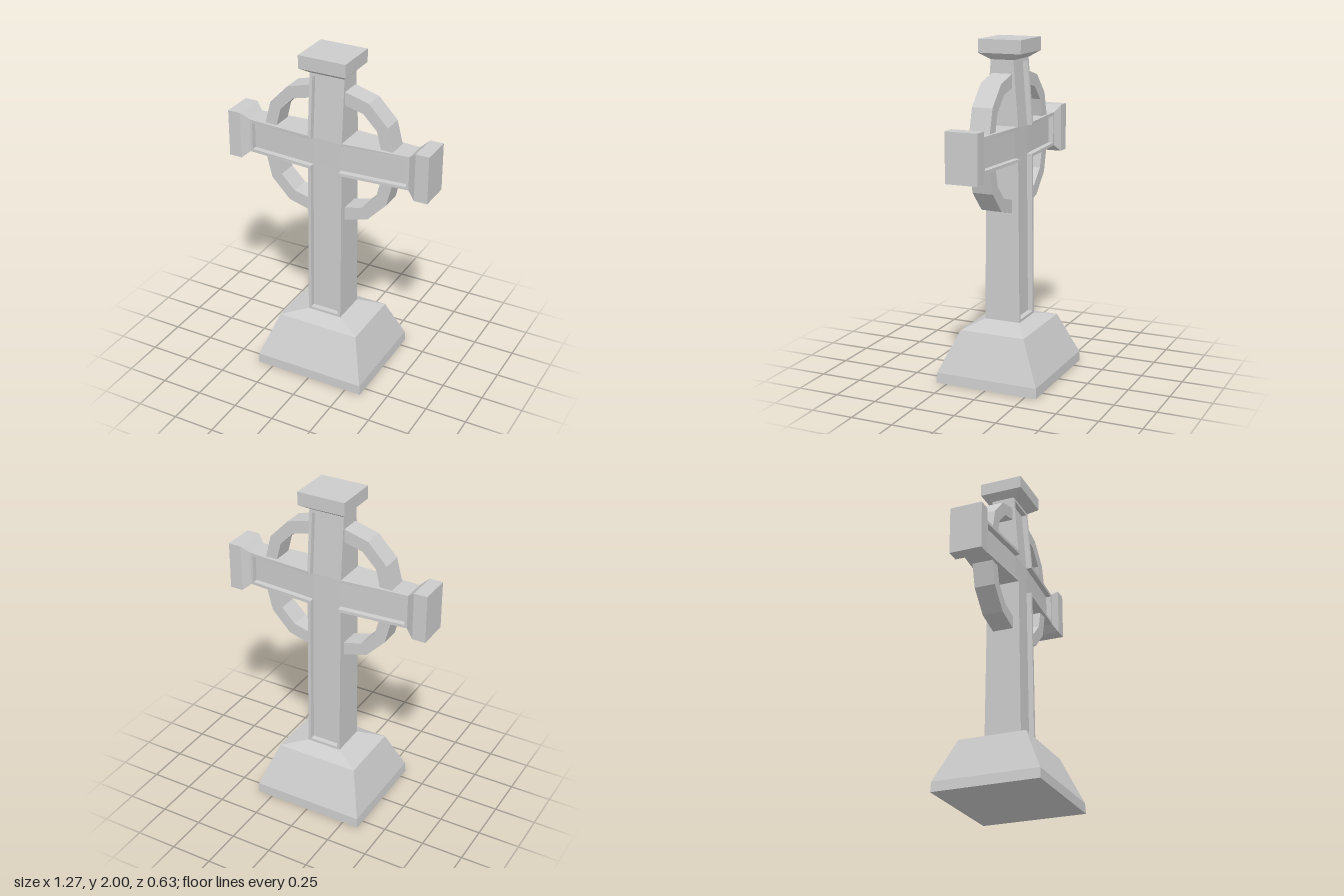
import * as THREE from 'three';

const material = new THREE.MeshStandardMaterial({ color: 0xcccccc, flatShading: true });
const CENTRE = 1.408; // height of the crossing

// Flat-shaded geometry from a list of four-cornered faces
function fromQuads(quads) {
  const pos = [];
  for (const [a, b, c, d] of quads) pos.push(...a, ...b, ...c, ...a, ...c, ...d);
  const g = new THREE.BufferGeometry();
  g.setAttribute('position', new THREE.Float32BufferAttribute(pos, 3));
  g.computeVertexNormals();
  return g;
}

// Stacked rectangles [height, half width, half depth], closed at both ends
function rectLoft(sections) {
  const loops = sections.map(([y, a, b]) => [[a, y, b], [a, y, -b], [-a, y, -b], [-a, y, b]]);
  const quads = [[...loops[0]].reverse(), loops[loops.length - 1]];
  for (let s = 0; s < loops.length - 1; s++)
    for (let i = 0; i < 4; i++) {
      const j = (i + 1) % 4;
      quads.push([loops[s][i], loops[s][j], loops[s + 1][j], loops[s + 1][i]]);
    }
  return fromQuads(quads);
}

// Half thickness of the cross, tapering towards every end
function depthAt(x, y) {
  const ax = Math.abs(x);
  if (ax > 0.11) return 0.1 - 0.03 * (ax - 0.11) / 0.4;
  if (y > 1.51) return 0.1 - 0.03 * (y - 1.51) / 0.37;
  if (y < 1.305) return 0.1 + 0.01 * (1.305 - y) / 0.955;
  return 0.1;
}

// Cross outline, anticlockwise, moved inwards by inset and back by sink
function crossLoop(inset, sink) {
  const w = 0.108 - inset, a = 0.51 - inset, h = 0.1025 - inset;
  const lo = CENTRE - h, hi = CENTRE + h, bottom = 0.35 + inset, top = 1.885 - inset;
  return [
    [-w, bottom], [w, bottom], [w, lo], [a, lo], [a, hi], [w, hi],
    [w, top], [-w, top], [-w, hi], [-a, hi], [-a, lo], [-w, lo],
  ].map(([x, y]) => [x, y, depthAt(x, y) - sink]);
}

// Front half of the cross: side walls, raised border, recessed panel
function crossHalf() {
  const outer = crossLoop(0, 0), inner = crossLoop(0.018, 0), floor = crossLoop(0.02, 0.03);
  const middle = outer.map(([x, y]) => [x, y, 0]);
  const quads = [];
  for (let i = 0; i < 12; i++) {
    const j = (i + 1) % 12;
    quads.push([middle[i], middle[j], outer[j], outer[i]]);
    quads.push([outer[i], outer[j], inner[j], inner[i]]);
    quads.push([inner[i], inner[j], floor[j], floor[i]]);
  }
  for (const f of [[0, 1, 2, 11], [2, 3, 4, 5], [5, 6, 7, 8], [8, 9, 10, 11], [11, 2, 5, 8]])
    quads.push(f.map(k => floor[k]));
  return fromQuads(quads);
}

// One quarter of the faceted ring, for the given signs of x and y
function ringQuarter(sx, sy) {
  const pts = [
    [0.1, 0.402], [0.255, 0.36], [0.37, 0.24], [0.407, 0.095],
    [0.333, 0.095], [0.305, 0.207], [0.22, 0.293], [0.1, 0.324],
  ].map(([x, y]) => new THREE.Vector2(sx * x, sy * y));
  const g = new THREE.ExtrudeGeometry(new THREE.Shape(pts), { depth: 0.124, bevelEnabled: false });
  return g.translate(0, CENTRE, -0.062);
}

export function createModel() {
  const model = new THREE.Group();
  const add = (name, geometry) => {
    const mesh = new THREE.Mesh(geometry, material);
    mesh.name = name;
    model.add(mesh);
    return mesh;
  };

  // Sloped plinth
  add('plinth', rectLoft([[0, 0.35, 0.317], [0.06, 0.345, 0.315], [0.312, 0.257, 0.2], [0.352, 0.108, 0.11]]));

  // Cross with recessed panels on both faces
  add('crossFront', crossHalf());
  add('crossBack', crossHalf()).rotation.y = Math.PI;

  // Flared block on the top
  add('topCap', rectLoft([[1.885, 0.108, 0.071], [1.922, 0.146, 0.131], [2, 0.146, 0.131]]));

  // Flared blocks on the arm ends
  for (const [name, s] of [['leftArmCap', 1], ['rightArmCap', -1]]) {
    const cap = add(name, rectLoft([[0.508, 0.1025, 0.07], [0.555, 0.143, 0.097], [0.635, 0.143, 0.097]]));
    cap.rotation.z = -s * Math.PI / 2;
    cap.position.y = CENTRE;
  }

  // Ring in four quarters between the arms
  for (const [sx, side] of [[1, 'Left'], [-1, 'Right']])
    for (const [sy, level] of [[1, 'upper'], [-1, 'lower']])
      add(`${level}${side}Ring`, ringQuarter(sx, sy));

  return model;
}
